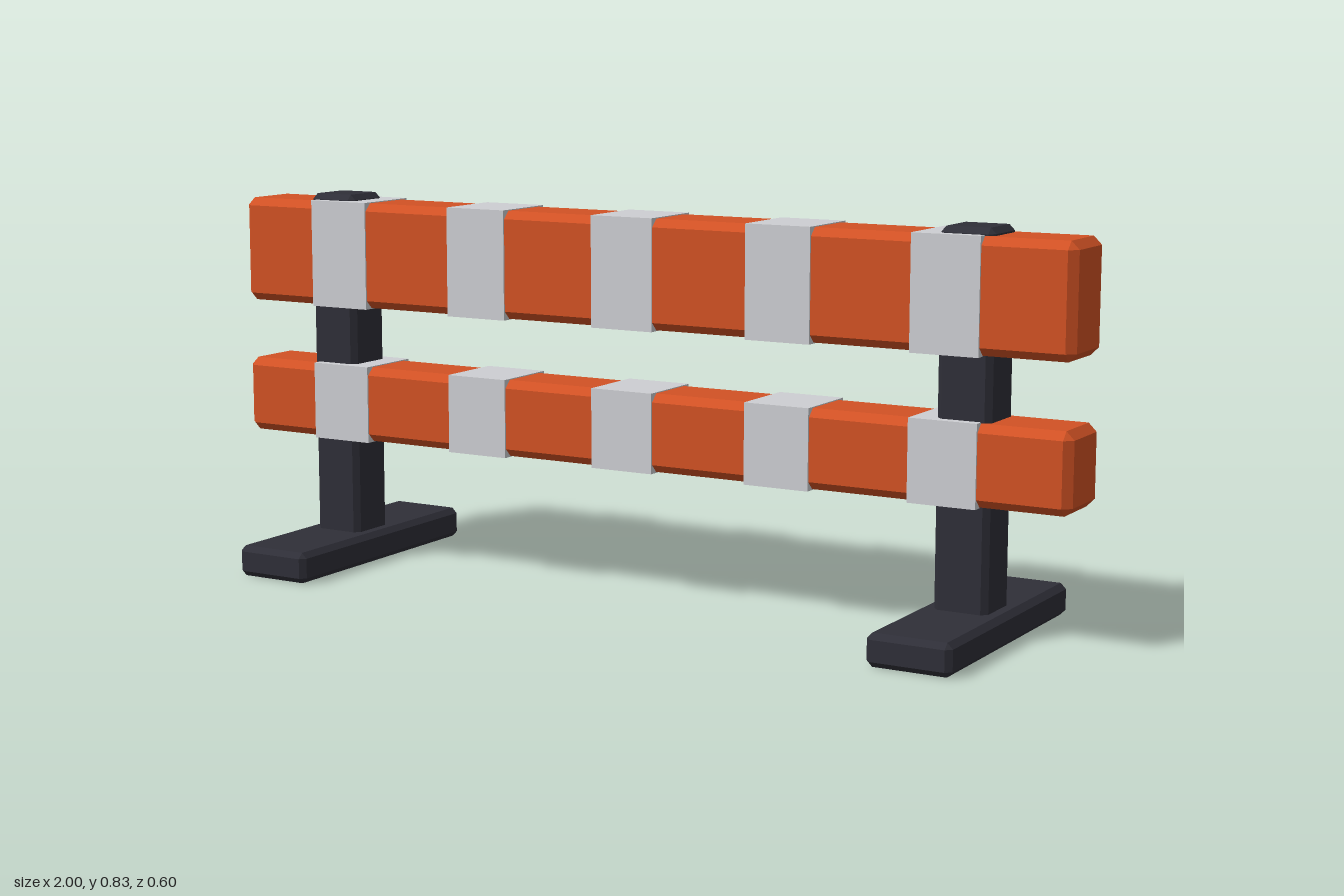
import * as THREE from 'three';
import { ConvexGeometry } from 'three/addons/geometries/ConvexGeometry.js';

const flat = (name, color) => {
  const material = new THREE.MeshStandardMaterial({ color });
  material.name = name;
  return material;
};

// Box with every edge cut by a single flat chamfer
function chamferBox(w, h, d, c) {
  const points = [];
  for (const x of [-1, 1]) for (const y of [-1, 1]) for (const z of [-1, 1]) {
    for (let axis = 0; axis < 3; axis++) {
      const cut = [c, c, c];
      cut[axis] = 0;
      points.push(new THREE.Vector3(x * (w / 2 - cut[0]), y * (h / 2 - cut[1]), z * (d / 2 - cut[2])));
    }
  }
  return new ConvexGeometry(points);
}

export function createModel() {
  const model = new THREE.Group();
  model.name = 'barrier';
  const orange = flat('orange', 0xd25224);
  const grey = flat('reflective grey', 0xcecfd3);
  const dark = flat('dark rubber', 0x2f2f38);

  const add = (name, geometry, material, x, y) => {
    const mesh = new THREE.Mesh(geometry, material);
    mesh.name = name;
    mesh.position.set(x, y, 0);
    model.add(mesh);
  };

  // Feet and posts, mirrored
  const foot = chamferBox(0.18, 0.068, 0.6, 0.012);
  const post = chamferBox(0.116, 0.783, 0.116, 0.012);
  for (const [side, s] of [['left', 1], ['right', -1]]) {
    add(side + 'Foot', foot, dark, s * 0.767, 0.034);
    add(side + 'Post', post, dark, s * 0.767, 0.4415);
  }

  // Two rails, each wrapped by five evenly spaced bands
  for (const [name, y, h] of [['upper', 0.701, 0.233], ['lower', 0.368, 0.167]]) {
    add(name + 'Rail', chamferBox(2, h, 0.151, 0.017), orange, 0, y);
    const band = new THREE.BoxGeometry(0.147, h + 0.004, 0.158);
    for (let i = -2; i <= 2; i++) add(name + 'Band', band, grey, i * 0.3665, y);
  }
  return model;
}
